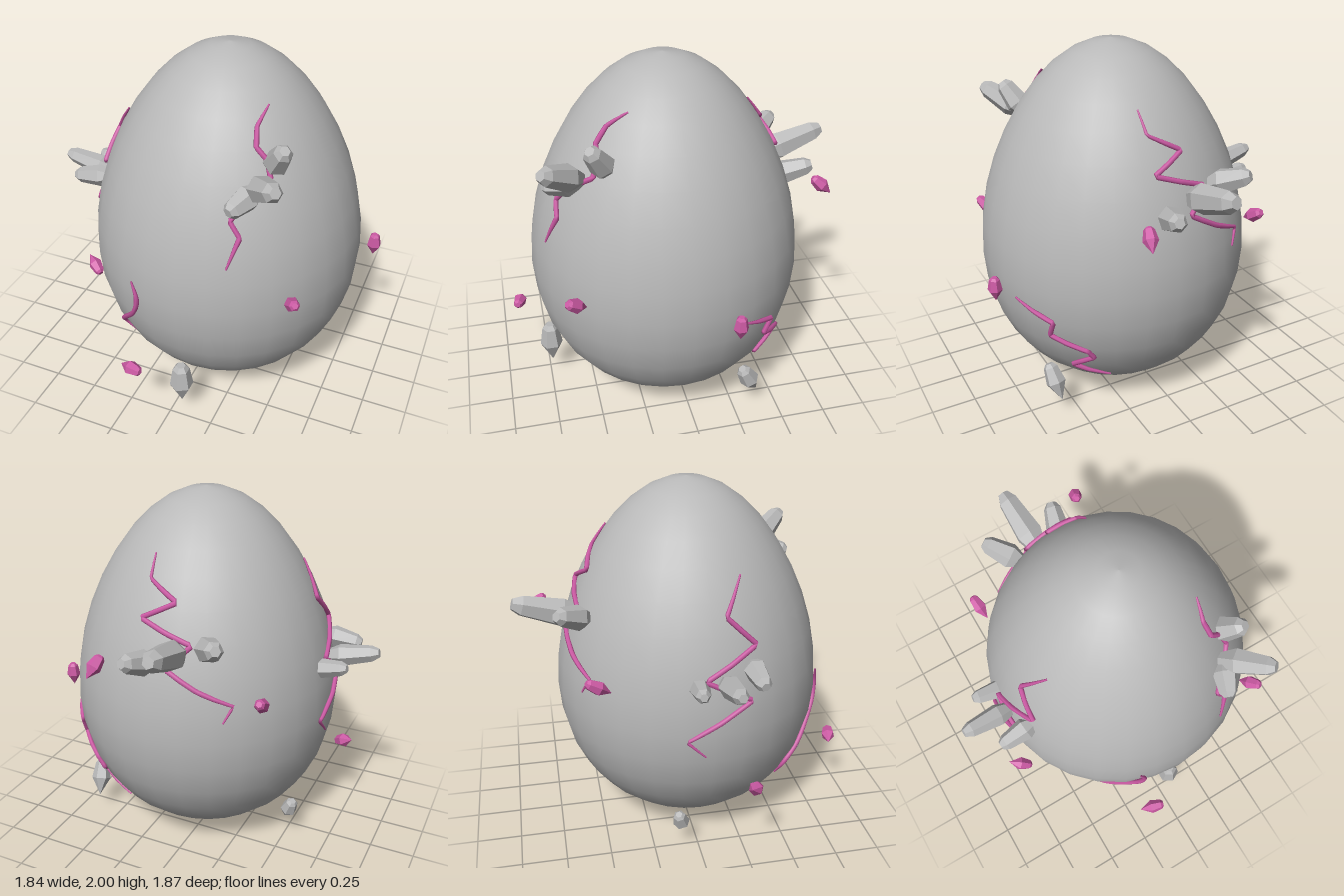
import * as THREE from 'three';

const shellMat = new THREE.MeshStandardMaterial({ color: 0xb9b9b9 });
shellMat.name = 'pale stone';
const pinkMat = new THREE.MeshStandardMaterial({ color: 0xcc5aa4 });
pinkMat.name = 'pink crystal';

// Egg axis position and its radius at height y
const CX = 0.072, CZ = 0.045;
const eggRadius = (y) => {
  const t = y - 1;
  return Math.sqrt(Math.max(0, 1 - t * t)) * (0.745 - 0.13 * t);
};

function makeEgg() {
  const profile = [];
  const rows = 18;
  for (let i = 0; i <= rows; i++) {
    const y = 1 - Math.cos((i / rows) * Math.PI);
    profile.push(new THREE.Vector2(i % rows ? eggRadius(y) : 0, y));
  }
  const egg = new THREE.Mesh(new THREE.LatheGeometry(profile, 28), shellMat);
  egg.position.set(CX, 0, CZ);
  egg.name = 'eggShell';
  return egg;
}

// Six-sided crystal: pointed root, wide waist, tapering shaft, blunt cap
function makeCrystal(name, root, cap, radius, mat) {
  const a = new THREE.Vector3(...root), b = new THREE.Vector3(...cap);
  const len = a.distanceTo(b);
  const pts = [[0, 0], [1, 0.48], [0.72, 0.9], [0.4, 1], [0, 1]]
    .map(([r, h]) => new THREE.Vector2(r * radius, h * len));
  const geo = new THREE.LatheGeometry(pts, 6).toNonIndexed();
  geo.computeVertexNormals();
  const mesh = new THREE.Mesh(geo, mat);
  mesh.position.copy(a);
  mesh.quaternion.setFromUnitVectors(new THREE.Vector3(0, 1, 0), b.sub(a).normalize());
  mesh.name = name;
  return mesh;
}

// Crack line hugging the shell; each point is [x or z, y], the other axis is solved
function makeVein(name, axis, side, points, tension) {
  const onShell = (p, y) => {
    const r = eggRadius(y) + 0.006;
    const d = p - (axis === 'x' ? CX : CZ);
    const o = side * Math.sqrt(Math.max(0, r * r - d * d));
    return axis === 'x' ? new THREE.Vector3(p, y, CZ + o) : new THREE.Vector3(CX + o, y, p);
  };
  const path = [];
  points.forEach(([p, y], i) => {
    if (i) {
      const [p0, y0] = points[i - 1];
      if (tension < 0.4) {
        for (const k of [0.1, 0.5, 0.9]) path.push(onShell(p0 + (p - p0) * k, y0 + (y - y0) * k));
      }
    }
    path.push(onShell(p, y));
  });
  const curve = new THREE.CatmullRomCurve3(path, false, 'catmullrom', tension);
  const n = 72, sides = 6;
  const geo = new THREE.TubeGeometry(curve, n, 0.014, sides);
  // Thin the tube toward both ends
  const pos = geo.attributes.position, v = new THREE.Vector3();
  for (let i = 0; i <= n; i++) {
    const c = curve.getPointAt(i / n);
    const s = Math.min(1, 0.35 + (4 * Math.min(i, n - i)) / n);
    for (let j = 0; j <= sides; j++) {
      const k = i * (sides + 1) + j;
      v.fromBufferAttribute(pos, k).sub(c).multiplyScalar(s).add(c);
      pos.setXYZ(k, v.x, v.y, v.z);
    }
  }
  const mesh = new THREE.Mesh(geo, pinkMat);
  mesh.name = name;
  return mesh;
}

export function createModel() {
  const model = new THREE.Group();
  model.name = 'crystalEgg';
  model.add(makeEgg());

  // Grey crystals: [root, cap, radius]
  const clusters = {
    leftCluster: [
      [[-0.52, 1.08, 0.1], [-0.92, 1.17, 0.12], 0.062],
      [[-0.5, 1.06, -0.02], [-0.79, 1.12, -0.04], 0.055],
      [[-0.48, 1.18, 0.25], [-0.78, 1.14, 0.275], 0.062],
    ],
    backCluster: [
      [[-0.05, 1.25, -0.43], [-0.09, 1.4, -0.93], 0.082],
      [[-0.14, 1.3, -0.48], [-0.33, 1.41, -0.71], 0.07],
      [[0.06, 1.19, -0.5], [0.14, 1.29, -0.8], 0.07],
    ],
    frontCluster: [
      [[0.34, 1.45, 0.47], [0.57, 1.62, 0.74], 0.072],
      [[0.41, 1.48, 0.37], [0.53, 1.7, 0.5], 0.068],
      [[0.43, 1.49, 0.49], [0.335, 1.44, 0.72], 0.068],
    ],
    floatingCrystals: [
      [[0.07, 0.106, 0.735], [0.07, 0.37, 0.735], 0.066],
      [[-0.49, 0.105, -0.08], [-0.55, 0.25, -0.12], 0.048],
      [[0.61, 0.12, -0.38], [0.64, 0.31, -0.28], 0.056],
    ],
  };
  for (const [name, list] of Object.entries(clusters)) {
    const group = new THREE.Group();
    group.name = name;
    list.forEach(([a, b, r]) => group.add(makeCrystal('greyCrystal', a, b, r, shellMat)));
    model.add(group);
  }

  // Small pink shards hovering around the shell: [point, cap]
  const shards = new THREE.Group();
  shards.name = 'floatingShards';
  [
    [[0.88, 0.735, -0.175], [0.88, 0.875, -0.175]],
    [[0.61, 0.865, 0.565], [0.675, 0.945, 0.67]],
    [[-0.78, 0.53, 0.23], [-0.67, 0.465, 0.3]],
    [[-0.225, 0.4, 0.87], [-0.09, 0.42, 0.91]],
    [[0.315, 1.195, -0.85], [0.285, 1.285, -0.75]],
    [[-0.49, 1.03, -0.46], [-0.51, 1.11, -0.59]],
  ].forEach(([a, b]) => shards.add(makeCrystal('pinkShard', a, b, 0.04, pinkMat)));
  model.add(shards);

  // Pink cracks
  const veins = new THREE.Group();
  veins.name = 'veins';
  veins.add(
    makeVein('frontUpperVein', 'x', 1, [[0.37, 1.81], [0.35, 1.74], [0.37, 1.66], [0.43, 1.6],
      [0.46, 1.52], [0.36, 1.42], [0.32, 1.35], [0.375, 1.27], [0.33, 1.11]], 0.3),
    makeVein('frontLowerVein', 'x', 1, [[-0.19, 0.9], [-0.16, 0.79], [-0.2, 0.67], [-0.32, 0.51],
      [-0.37, 0.4], [-0.32, 0.3]], 0.5),
    makeVein('leftVein', 'z', -1, [[0.22, 1.61], [0.125, 1.43], [0.28, 1.28], [0, 1.13],
      [0.25, 1.0], [-0.1, 0.8], [0, 0.7]], 0.2),
    makeVein('backVein', 'x', -1, [[0.15, 1.74], [0.14, 1.63], [-0.03, 1.54], [0.15, 1.45],
      [-0.14, 1.35], [-0.02, 1.23], [-0.19, 1.13], [-0.36, 1.05], [-0.32, 0.96]], 0.2),
    makeVein('rightVein', 'z', 1, [[-0.217, 0.75], [-0.42, 0.665], [-0.38, 0.57], [-0.51, 0.49],
      [-0.51, 0.44], [-0.38, 0.34], [-0.445, 0.245]], 0.2),
  );
  model.add(veins);
  return model;
}
